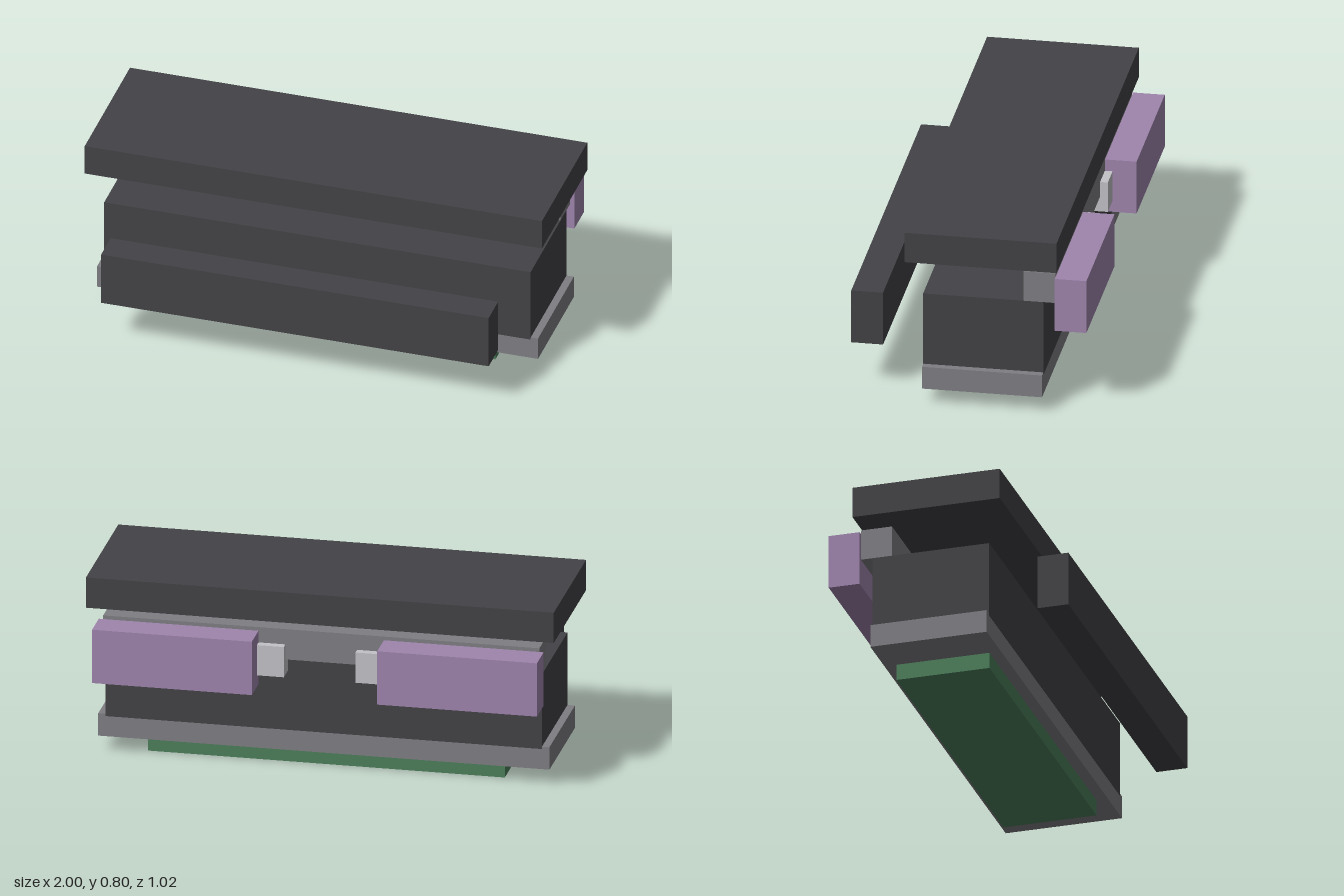
import * as THREE from 'three';

const material = (name, color) => {
  const m = new THREE.MeshStandardMaterial({ color });
  m.name = name;
  return m;
};

export function createModel() {
  const charcoal = material('charcoal', 0x434246);
  const grey = material('grey', 0x7f7e83);
  const lightGrey = material('lightGrey', 0xc3c3c8);
  const green = material('green', 0x4d7f5c);
  const purple = material('purple', 0x9f85ad);

  const group = new THREE.Group();
  group.name = 'layeredUnit';

  // Box given by its extents along each axis
  function block(name, mat, [x0, x1], [y0, y1], [z0, z1]) {
    const mesh = new THREE.Mesh(new THREE.BoxGeometry(x1 - x0, y1 - y0, z1 - z0), mat);
    mesh.position.set((x0 + x1) / 2, (y0 + y1) / 2, (z0 + z1) / 2);
    mesh.name = name;
    group.add(mesh);
  }

  // Central stack, from the foot up to the floating lid
  block('foot', green, [-0.765, 0.76], [0, 0.08], [-0.27, 0.137]);
  block('tray', grey, [-0.967, 0.962], [0.07, 0.17], [-0.322, 0.187]);
  block('body', charcoal, [-0.935, 0.93], [0.16, 0.493], [-0.323, 0.188]);
  block('rearRail', grey, [-0.935, 0.93], [0.493, 0.628], [-0.373, -0.237]);
  block('lid', charcoal, [-1, 1], [0.663, 0.798], [-0.39, 0.254]);

  // Separate bar ahead of the body
  block('frontBar', charcoal, [-0.85, 0.845], [0.205, 0.443], [0.373, 0.508]);

  // Paired rear boxes with their clips
  for (const side of [-1, 1]) {
    const span = (a, b) => [side * a - 0.0025, side * b - 0.0025].sort((p, q) => p - q);
    block(side > 0 ? 'leftRearBox' : 'rightRearBox', purple,
      span(0.268, 0.951), [0.374, 0.612], [-0.508, -0.3735]);
    block(side > 0 ? 'leftClip' : 'rightClip', lightGrey,
      span(0.153, 0.287), [0.425, 0.56], [-0.406, -0.27]);
  }
  return group;
}
